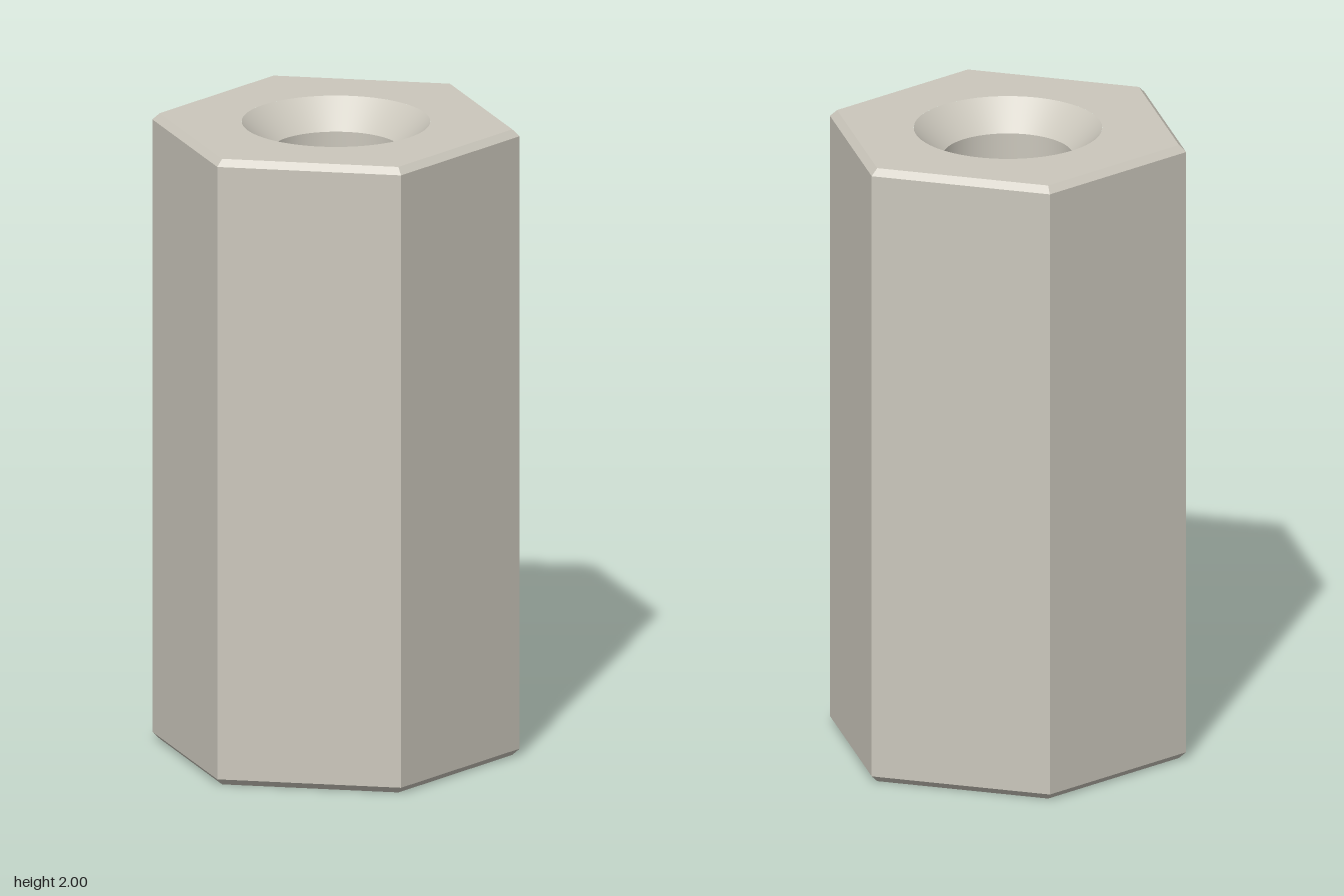
import * as THREE from 'three';

const R = 0.573, CHAMFER_IN = 0.023, CHAMFER_H = 0.021; // hexagon and its bevel
const BORE = 0.2, SINK = 0.29, SINK_H = 0.09;           // hole and countersink
const H = 2, TURN = THREE.MathUtils.degToRad(11.8);

export function createModel() {
  const group = new THREE.Group();
  const metal = new THREE.MeshStandardMaterial({ color: 0xcbc7bc });
  metal.name = 'warm grey metal';

  const add = (name, geometry) => {
    const mesh = new THREE.Mesh(geometry, metal);
    mesh.name = name;
    group.add(mesh);
  };

  // Open six-sided ring with flat facets
  const hexRing = (rTop, rBottom, y0, y1) => {
    const g = new THREE.CylinderGeometry(rTop, rBottom, y1 - y0, 6, 1, true, Math.PI / 2 - TURN)
      .translate(0, (y0 + y1) / 2, 0).toNonIndexed();
    g.computeVertexNormals();
    return g;
  };

  // Inward-facing round wall, profile running downwards
  const roundWall = (rTop, yTop, rBottom, yBottom) => new THREE.LatheGeometry(
    [new THREE.Vector2(rTop, yTop), new THREE.Vector2(rBottom, yBottom)], 96);

  // Hexagonal end face with a round hole
  const endFace = (up) => {
    const r = R - CHAMFER_IN, s = up ? -1 : 1;
    const corners = [];
    for (let i = 0; i < 6; i++) {
      const a = TURN + i * Math.PI / 3;
      corners.push(new THREE.Vector2(r * Math.cos(a), s * r * Math.sin(a)));
    }
    const shape = new THREE.Shape(corners);
    shape.holes.push(new THREE.Path().absarc(0, 0, SINK, 0, Math.PI * 2, true));
    return new THREE.ShapeGeometry(shape, 96).rotateX(s * Math.PI / 2).translate(0, up ? H : 0, 0);
  };

  // Outer body and bevels
  add('hexBody', hexRing(R, R, CHAMFER_H, H - CHAMFER_H));
  add('topBevel', hexRing(R - CHAMFER_IN, R, H - CHAMFER_H, H));
  add('bottomBevel', hexRing(R, R - CHAMFER_IN, 0, CHAMFER_H));
  add('topFace', endFace(true));
  add('bottomFace', endFace(false));

  // Through hole with a countersink at each end
  add('topCountersink', roundWall(SINK, H, BORE, H - SINK_H));
  add('bore', roundWall(BORE, H - SINK_H, BORE, SINK_H));
  add('bottomCountersink', roundWall(BORE, SINK_H, SINK, 0));

  return group;
}
